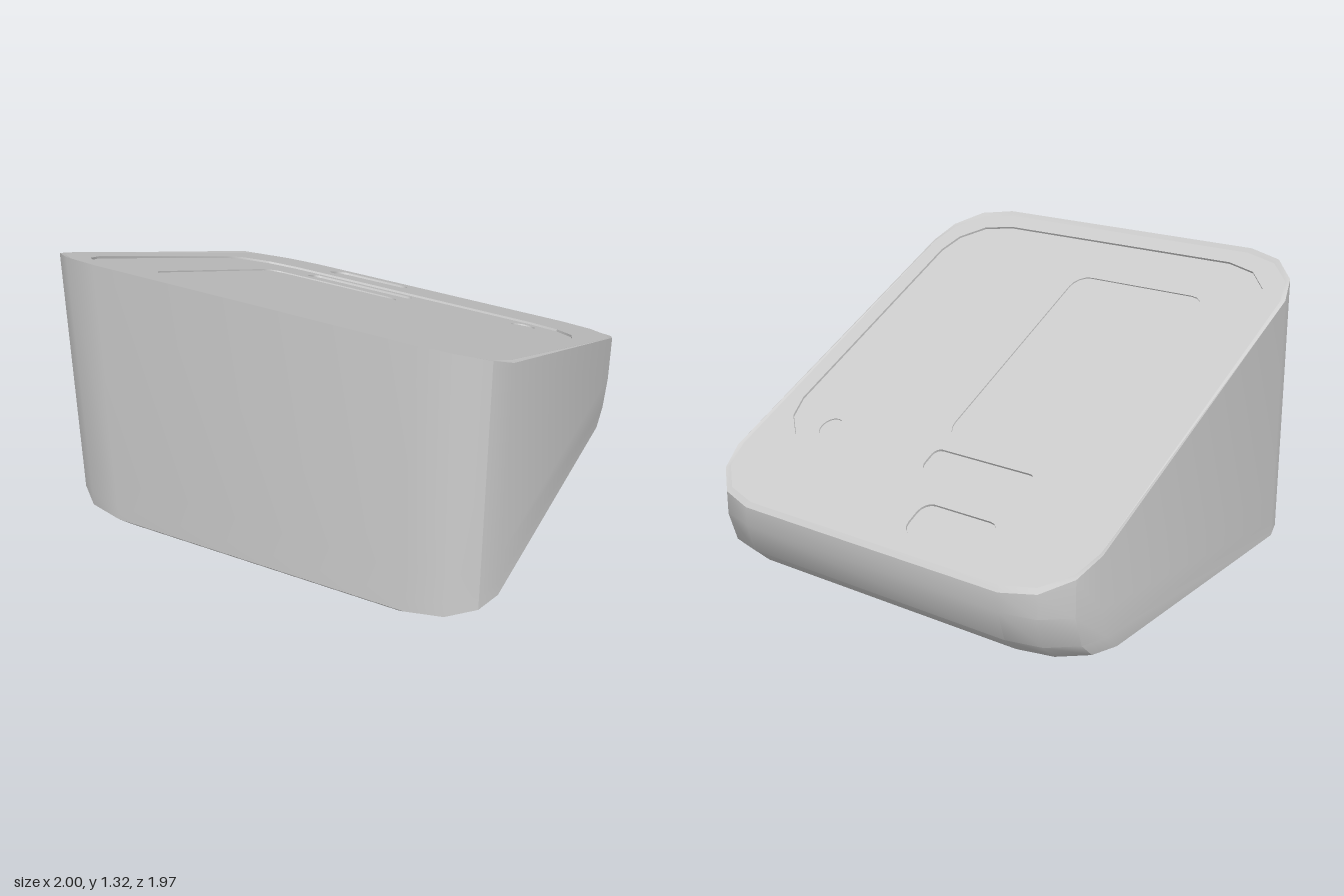
import * as THREE from 'three';
import { toCreasedNormals } from 'three/addons/utils/BufferGeometryUtils.js';

const material = new THREE.MeshStandardMaterial({ color: 0xcccccc });

// Faceted corner as [inset in x, inset in z] pairs, from the side to the end.
const facetCorner = (k) => [[0, 0.26], [0.04, 0.14], [0.15, 0.04], [0.31, 0]].map(([a, b]) => [a * k, b * k]);
const roundCorner = (r, n) => Array.from({ length: n + 1 }, (_, i) => {
  const t = (i / n) * Math.PI / 2;
  return [r * (1 - Math.cos(t)), r * (1 - Math.sin(t))];
});

// Closed outline [x, z] of a rectangle with shaped corners.
function outline(x0, x1, z0, z1, corner) {
  const back = [...corner].reverse();
  return [
    ...corner.map(([a, b]) => [x1 - a, z1 - b]),
    ...back.map(([a, b]) => [x0 + a, z1 - b]),
    ...corner.map(([a, b]) => [x0 + a, z0 + b]),
    ...back.map(([a, b]) => [x1 - a, z0 + b]),
  ];
}

// Sloping top plane; depth is measured along its normal.
const SLOPE = 0.49, tilt = Math.atan(SLOPE);
const onTop = (depth) => ([x, z]) =>
  [x, 0.829 + SLOPE * z - depth * Math.cos(tilt), z + depth * Math.sin(tilt)];

// Outer rim height, bent a little towards the ends.
const rimY = (z) => {
  const m = Math.max(-0.71, Math.min(0.71, z));
  return 0.829 + 0.48 * m + 0.555 * (z - m);
};

// Skin between rings of points, lowest ring first for an outward surface.
function loft(rings) {
  const pos = [];
  for (let r = 0; r + 1 < rings.length; r++) {
    const lo = rings[r], hi = rings[r + 1], n = lo.length;
    for (let i = 0; i < n; i++) {
      const j = (i + 1) % n;
      pos.push(...lo[i], ...hi[i], ...hi[j], ...lo[i], ...hi[j], ...lo[j]);
    }
  }
  const g = new THREE.BufferGeometry();
  g.setAttribute('position', new THREE.Float32BufferAttribute(pos, 3));
  return toCreasedNormals(g, 0.5);
}

// Flat sheet with holes lying on the sloping plane.
function sheet(edge, holes, depth) {
  const vec = (pts) => pts.map(([x, z]) => new THREE.Vector2(x, -z));
  const shape = new THREE.Shape(vec(edge));
  shape.holes = holes.map((h) => new THREE.Path(vec(h)));
  const g = new THREE.ShapeGeometry(shape);
  const p = g.attributes.position, place = onTop(depth);
  for (let i = 0; i < p.count; i++) p.setXYZ(i, ...place([p.getX(i), -p.getY(i)]));
  g.computeVertexNormals();
  return g;
}

export function createModel() {
  const model = new THREE.Group();
  const add = (name, geometry, parent = model) => {
    const mesh = new THREE.Mesh(geometry, material);
    mesh.name = name;
    parent.add(mesh);
    return mesh;
  };

  // Wedge shell: small chamfer below, large fillet along the low back edge
  const levels = [
    [0, 0.96, 0.95, -0.8],
    [0.038, 1, 0.985, -0.865],
    [0.11, 1, 0.984, -0.94],
    [0.25, 1, 0.983, -0.985],
  ];
  const rings = levels.map(([y, hx, zf, zb]) =>
    outline(-hx, hx, zb, zf, facetCorner(1)).map(([x, z]) => [x, y, z]));
  const rim = outline(-1, 1, -0.985, 0.975, facetCorner(1));
  const rimRing = rim.map(([x, z]) => [x, rimY(z), z]);
  add('shell', loft([...rings, rimRing]));

  // Underside
  const base = new THREE.ShapeGeometry(new THREE.Shape(
    rings[0].map(([x, , z]) => new THREE.Vector2(x, z))));
  add('underside', base.rotateX(Math.PI / 2));

  // Softened rim leading to the sloping top
  const inner = outline(-0.983, 0.983, -0.965, 0.957, facetCorner(0.98));
  add('rimBevel', loft([rimRing, inner.map(onTop(0))]));

  // Outlines of the recesses
  const panel = outline(-0.9, 0.9, -0.62, 0.88, facetCorner(0.88));
  const backKey = outline(-0.51, -0.11, -0.88, -0.72, roundCorner(0.055, 4));
  const slot = outline(-0.49, 0.045, -0.57, -0.455, roundCorner(0.035, 4));
  const screen = outline(-0.64, 0.06, -0.38, 0.65, roundCorner(0.075, 4));
  const button = outline(0.575, 0.685, -0.555, -0.445, roundCorner(0.055, 4));

  // Shallow recess with inward walls and its own floor
  const recess = (name, edge, top, bottom, holes = []) => {
    const group = new THREE.Group();
    group.name = name;
    add(name + 'Wall', loft([edge.map(onTop(top)), edge.map(onTop(bottom))]), group);
    add(name + 'Floor', sheet(edge, holes, bottom), group);
    model.add(group);
  };

  const d = 0.01;
  add('topFrame', sheet(inner, [panel, backKey], 0));
  recess('frontPanel', panel, 0, d, [slot, screen, button]);
  recess('backKey', backKey, 0, d);
  recess('slot', slot, d, 2 * d);
  recess('screen', screen, d, 1.6 * d);
  recess('roundButton', button, d, 1.6 * d);
  return model;
}
